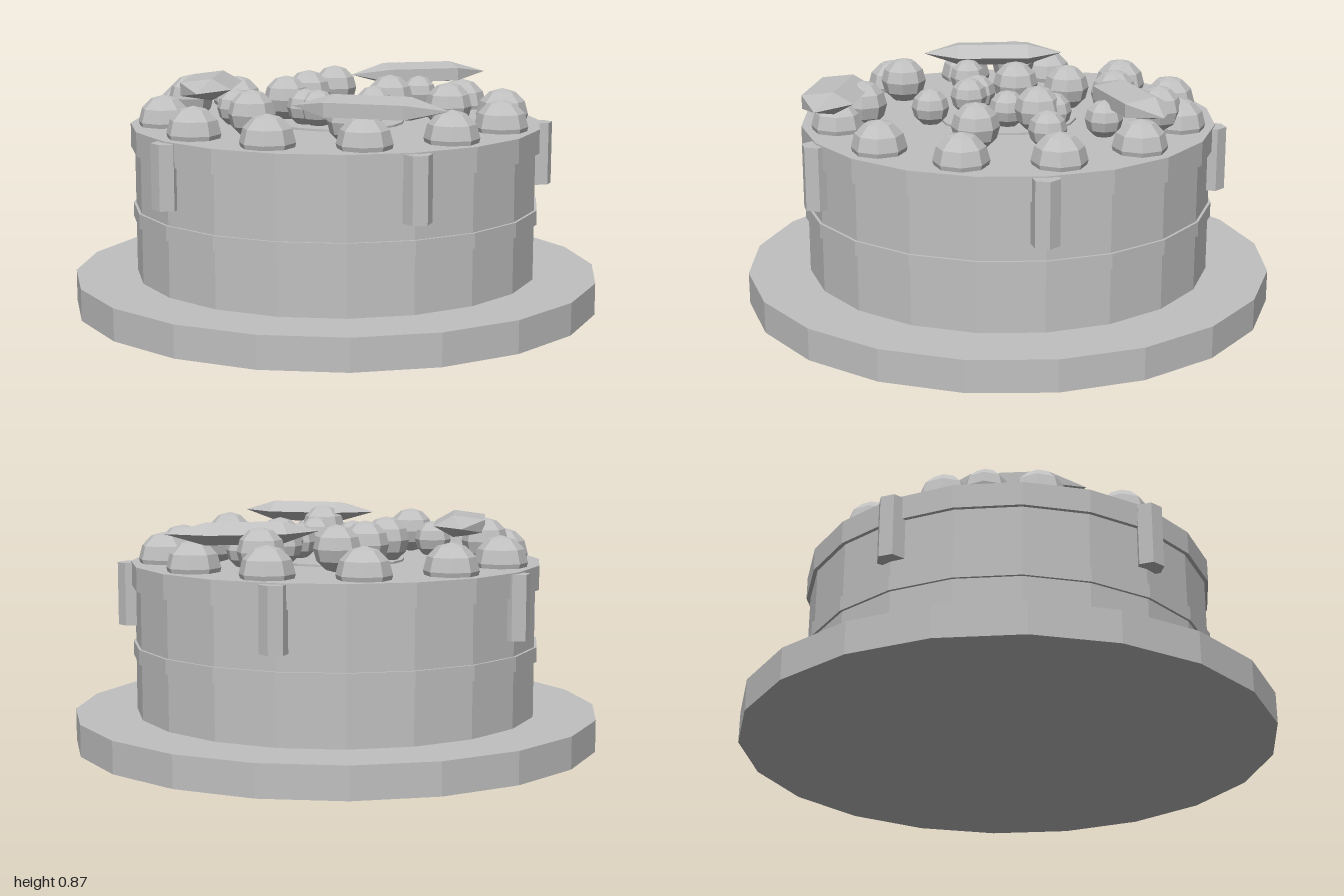
import * as THREE from 'three';

export function createModel() {
  const cake = new THREE.Group();
  cake.name = 'cake';
  const grey = new THREE.MeshStandardMaterial({ color: 0xc0c0c0, flatShading: true });
  grey.name = 'plain grey';

  const add = (name, geometry, x, y, z) => {
    const mesh = new THREE.Mesh(geometry, grey);
    mesh.name = name;
    mesh.position.set(x, y, z);
    cake.add(mesh);
    return mesh;
  };
  const disc = (name, radius, bottom, top, sides = 20, x = 0, z = 0) =>
    add(name, new THREE.CylinderGeometry(radius, radius, top - bottom, sides), x, (bottom + top) / 2, z);

  // Plate, sponge, filling band, icing and raised centre
  disc('plate', 1, 0, 0.12);
  disc('sponge', 0.765, 0.12, 0.61);
  disc('fillingBand', 0.775, 0.33, 0.385);
  disc('icing', 0.78, 0.6, 0.69);
  disc('centreDisc', 0.26, 0.685, 0.698);

  // Icing drips round the side
  for (let i = 0; i < 5; i++) {
    const a = (i * Math.PI * 2) / 5;
    const drip = disc('drip', 0.052, 0.447, 0.685, 6, 0.775 * Math.sin(a) + 0.006, 0.775 * Math.cos(a));
    drip.rotation.y = Math.PI / 6;
  }

  // Berries: a ring sunk half way into the icing, and loose ones on top
  const berry = (name, r, x, y, z) => add(name, new THREE.SphereGeometry(r, 8, 6), x, y, z);
  for (let i = 0; i < 12; i++) {
    const a = (i * Math.PI) / 6;
    berry('ringBerry', 0.1, 0.65 * Math.sin(a), 0.706, 0.65 * Math.cos(a));
  }
  const big = [
    [-0.32, -0.25], [0.39, -0.22], [0.065, -0.215], [-0.255, -0.065], [-0.16, 0.115],
    [0.105, 0.47], [-0.42, 0.38], [-0.245, -0.53], [0.46, 0.3],
  ];
  const small = [
    [0.21, -0.4], [0.285, 0.125], [0.105, -0.1], [0.01, -0.24], [0.01, 0.155],
    [0.07, 0.14], [-0.145, 0.365], [-0.035, -0.45],
  ];
  big.forEach(([x, z]) => berry('bigBerry', 0.087, x, 0.773, z));
  small.forEach(([x, z]) => berry('smallBerry', 0.07, x, 0.76, z));

  // Leaves: flattened spindles, given by centre and long axis
  const leaves = [
    [-0.107, -0.512, 0.423, -0.906],
    [0.58, 0.318, 0.82, -0.57],
    [-0.3, 0.377, 0.72, 0.69],
  ];
  for (const [x, z, ax, az] of leaves) {
    const leaf = add('leaf', new THREE.SphereGeometry(1, 5, 3), x, 0.83, z);
    const along = new THREE.Vector3(ax, 0, az).normalize();
    const across = new THREE.Vector3(-along.z, 0, along.x);
    const up = new THREE.Vector3().crossVectors(across, along);
    leaf.quaternion.setFromRotationMatrix(new THREE.Matrix4().makeBasis(across, along, up));
    leaf.scale.set(0.122, 0.279, 0.049);
  }
  return cake;
}
